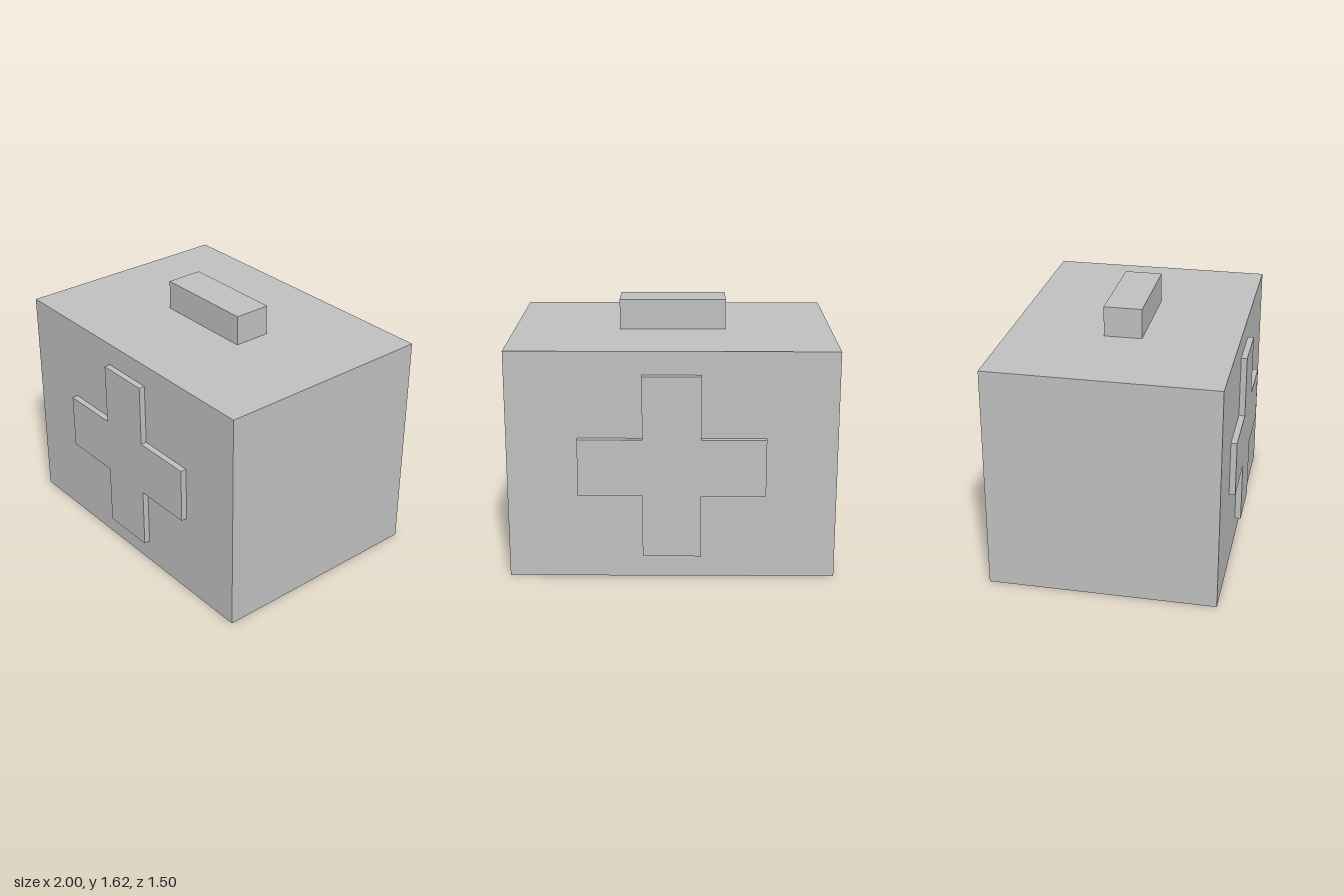
import * as THREE from 'three';

export function createModel() {
  const group = new THREE.Group();
  const grey = new THREE.MeshStandardMaterial({ color: 0xc0c0c0 });
  grey.name = 'light grey';

  const add = (name, geometry, x, y, z) => {
    const mesh = new THREE.Mesh(geometry, grey);
    mesh.name = name;
    mesh.position.set(x, y, z);
    group.add(mesh);
    return mesh;
  };

  // Case and the block handle on its lid
  const width = 2, height = 1.43, depth = 1.426;
  add('caseBody', new THREE.BoxGeometry(width, height, depth), 0, height / 2, 0);
  add('handle', new THREE.BoxGeometry(0.667, 0.19, 0.238), 0, height + 0.095, 0);

  // Raised cross, one outline extruded for both faces
  const arm = 0.57, half = 0.178, relief = 0.038;
  const outline = [
    [half, half], [half, arm], [-half, arm], [-half, half],
    [-arm, half], [-arm, -half], [-half, -half], [-half, -arm],
    [half, -arm], [half, -half], [arm, -half], [arm, half],
  ].map(([x, y]) => new THREE.Vector2(x, y));
  const cross = new THREE.ExtrudeGeometry(new THREE.Shape(outline), {
    depth: relief, bevelEnabled: false,
  });
  add('frontCross', cross, 0, 0.716, depth / 2);
  add('backCross', cross, 0, 0.716, -depth / 2).rotation.y = Math.PI;

  return group;
}
